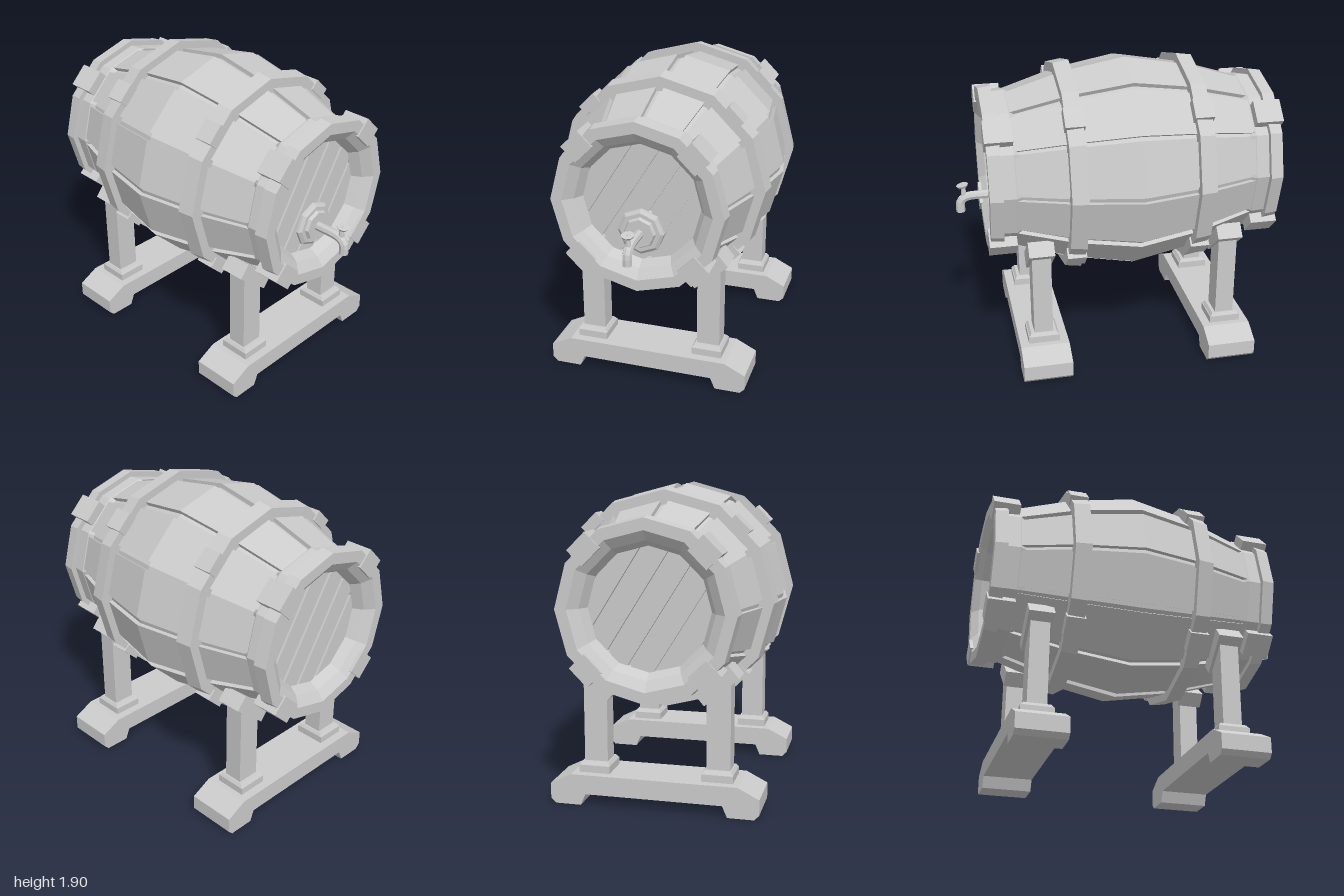
import * as THREE from 'three';

const AXIS_Y = 1.225, MID_Z = -0.085, HALF = 0.775;
const flat = new THREE.MeshStandardMaterial({ color: 0xcccccc, flatShading: true });

function add(parent, name, geometry, x = 0, y = 0, z = 0) {
  const mesh = new THREE.Mesh(geometry, flat);
  mesh.name = name;
  mesh.position.set(x, y, z);
  parent.add(mesh);
  return mesh;
}

// Turned part whose axis lies along z; points are [radius, z]
function turned(points, sides = 12) {
  return new THREE.LatheGeometry(points.map(p => new THREE.Vector2(...p)), sides).rotateX(Math.PI / 2);
}

// Bulging radius of the barrel at a distance from its middle
function bulge(z) {
  const t = Math.abs(z) / (HALF / 2);
  return t < 1 ? 0.68 - 0.07 * t : 0.61 - 0.12 * (t - 1);
}

// One flat plank bent along the bulge
function staveGeometry() {
  const g = new THREE.BoxGeometry(2, 1, HALF * 2, 1, 1, 4);
  const p = g.attributes.position;
  for (let i = 0; i < p.count; i++) {
    const a = p.getX(i) * THREE.MathUtils.degToRad(12.7);
    const r = bulge(p.getZ(i)) - (p.getY(i) < 0 ? 0.08 : 0);
    p.setXY(i, Math.sin(a) * r, Math.cos(a) * r);
  }
  g.computeVertexNormals();
  return g;
}

// Recessed lid: backing disc with diagonal planks
function makeHead() {
  const head = new THREE.Group();
  add(head, 'headBacking', turned([[0.43, -0.04], [0.43, 0], [0, 0]]));
  const planks = new THREE.Group();
  planks.name = 'headPlanks';
  planks.rotation.z = THREE.MathUtils.degToRad(-32);
  const R = 0.41, pitch = 0.148, half = 0.064;
  for (let i = -2; i <= 2; i++) {
    const a = i * pitch - half, b = i * pitch + half;
    const ha = Math.sqrt(R * R - a * a), hb = Math.sqrt(R * R - b * b);
    const shape = new THREE.Shape([[a, -ha], [b, -hb], [b, hb], [a, ha]].map(p => new THREE.Vector2(...p)));
    add(planks, 'headPlank', new THREE.ExtrudeGeometry(shape, { depth: 0.025, bevelEnabled: false }));
  }
  head.add(planks);
  return head;
}

// End of the barrel: stepped rim, four clamps and the lid, facing +z
function makeEnd(name) {
  const end = new THREE.Group();
  end.name = name;
  add(end, 'rim', turned([
    [0.40, 0.575], [0.51, 0.575], [0.505, 0.825], [0.54, 0.825], [0.53, 0.905],
    [0.46, 0.905], [0.40, 0.86], [0.365, 0.80], [0.365, 0.70], [0.40, 0.575],
  ].map(([r, z]) => [r, r === 0.51 ? 0.745 : z])));
  for (let i = 0; i < 4; i++) {
    const pivot = new THREE.Group();
    pivot.rotation.z = Math.PI / 4 + i * Math.PI / 2;
    add(pivot, 'rimClamp', new THREE.BoxGeometry(0.15, 0.125, 0.17), 0, 0.492, 0.83);
    end.add(pivot);
  }
  const head = makeHead();
  head.name = 'head';
  head.position.z = 0.775;
  end.add(head);
  return end;
}

function makeBarrel() {
  const barrel = new THREE.Group();
  barrel.name = 'barrel';
  barrel.position.set(0, AXIS_Y, MID_Z);

  // Inner core seen through the gaps between staves
  const stations = [-1, -0.5, 0, 0.5, 1].map(t => t * HALF);
  add(barrel, 'core', turned(stations.map(z => [bulge(z) - 0.022, z])));
  const stave = staveGeometry();
  for (let i = 0; i < 12; i++) {
    add(barrel, 'stave', stave).rotation.z = (i + 0.5) * Math.PI / 6;
  }

  // Hoops with a thin clamp on each diagonal
  for (const s of [1, -1]) {
    const loop = [[0.59, 0.34], [0.675, 0.34], [0.66, 0.44], [0.56, 0.44], [0.59, 0.34]];
    const points = s > 0 ? loop : loop.map(([r, z]) => [r, -z]).reverse();
    add(barrel, 'hoop', turned(points));
    for (let i = 0; i < 4; i++) {
      const pivot = new THREE.Group();
      pivot.rotation.z = Math.PI / 4 + i * Math.PI / 2;
      add(pivot, 'hoopClamp', new THREE.BoxGeometry(0.13, 0.07, 0.12), 0, 0.634, s * 0.39);
      barrel.add(pivot);
    }
  }

  const front = makeEnd('frontEnd'), back = makeEnd('backEnd');
  back.rotation.y = Math.PI;
  barrel.add(front, back);
  return barrel;
}

// Tap with flange, bent spout and T handle
function makeTap() {
  const tap = new THREE.Group();
  tap.name = 'tap';
  tap.position.y = 1.045;
  add(tap, 'flange', turned([[0.145, 0.69], [0.145, 0.73], [0.125, 0.745], [0.10, 0.745], [0.09, 0.765], [0, 0.765]], 8));
  const path = new THREE.CurvePath();
  const v = (y, z) => new THREE.Vector3(0, y, z);
  path.add(new THREE.LineCurve3(v(0, 0.74), v(0, 0.88)));
  path.add(new THREE.QuadraticBezierCurve3(v(0, 0.88), v(0, 0.97), v(-0.06, 0.97)));
  path.add(new THREE.LineCurve3(v(-0.06, 0.97), v(-0.105, 0.97)));
  add(tap, 'spout', new THREE.TubeGeometry(path, 14, 0.029, 8)).material = spoutMaterial;
  add(tap, 'spoutMouth', new THREE.CircleGeometry(0.028, 8).rotateX(Math.PI / 2), 0, -0.1, 0.97);
  add(tap, 'handleStem', new THREE.CylinderGeometry(0.012, 0.018, 0.08, 8), 0, 0.04, 0.945);
  add(tap, 'handle', new THREE.CylinderGeometry(0.04, 0.03, 0.016, 8), 0, 0.07, 0.95).rotation.x = 0.2;
  return tap;
}
const spoutMaterial = new THREE.MeshStandardMaterial({ color: 0xcccccc, flatShading: true, side: THREE.DoubleSide });

// Foot beam with two posts, footings and sloping cradle pads
function makeStand(name, z) {
  const stand = new THREE.Group();
  stand.name = name;
  stand.position.z = z;
  const side = [[0.42, 0.07], [0.45, 0], [0.61, 0], [0.64, 0.03], [0.64, 0.125], [0.51, 0.19]];
  const outline = [...side, ...side.map(([x, y]) => [-x, y]).reverse()];
  const shape = new THREE.Shape(outline.map(p => new THREE.Vector2(...p)));
  add(stand, 'footBeam', new THREE.ExtrudeGeometry(shape, { depth: 0.31, bevelEnabled: false }).translate(0, 0, -0.155));
  for (const s of [1, -1]) {
    const x = s * 0.378;
    add(stand, 'footing', new THREE.BoxGeometry(0.19, 0.05, 0.2), x, 0.21, 0);
    const cap = new THREE.CylinderGeometry(0.163 / Math.SQRT2, 0.19 / Math.SQRT2, 0.02, 4).rotateY(Math.PI / 4);
    add(stand, 'footingBevel', cap, x, 0.245, 0);
    add(stand, 'post', new THREE.BoxGeometry(0.145, 0.56, 0.12), x, 0.52, 0);
    add(stand, 'cradlePad', new THREE.BoxGeometry(0.27, 0.1, 0.16), s * 0.365, 0.77, 0).rotation.z = s * 0.7;
  }
  return stand;
}

export function createModel() {
  const model = new THREE.Group();
  model.name = 'barrelOnStand';
  model.add(makeBarrel(), makeTap(), makeStand('frontStand', 0.52), makeStand('backStand', -0.68));
  return model;
}
